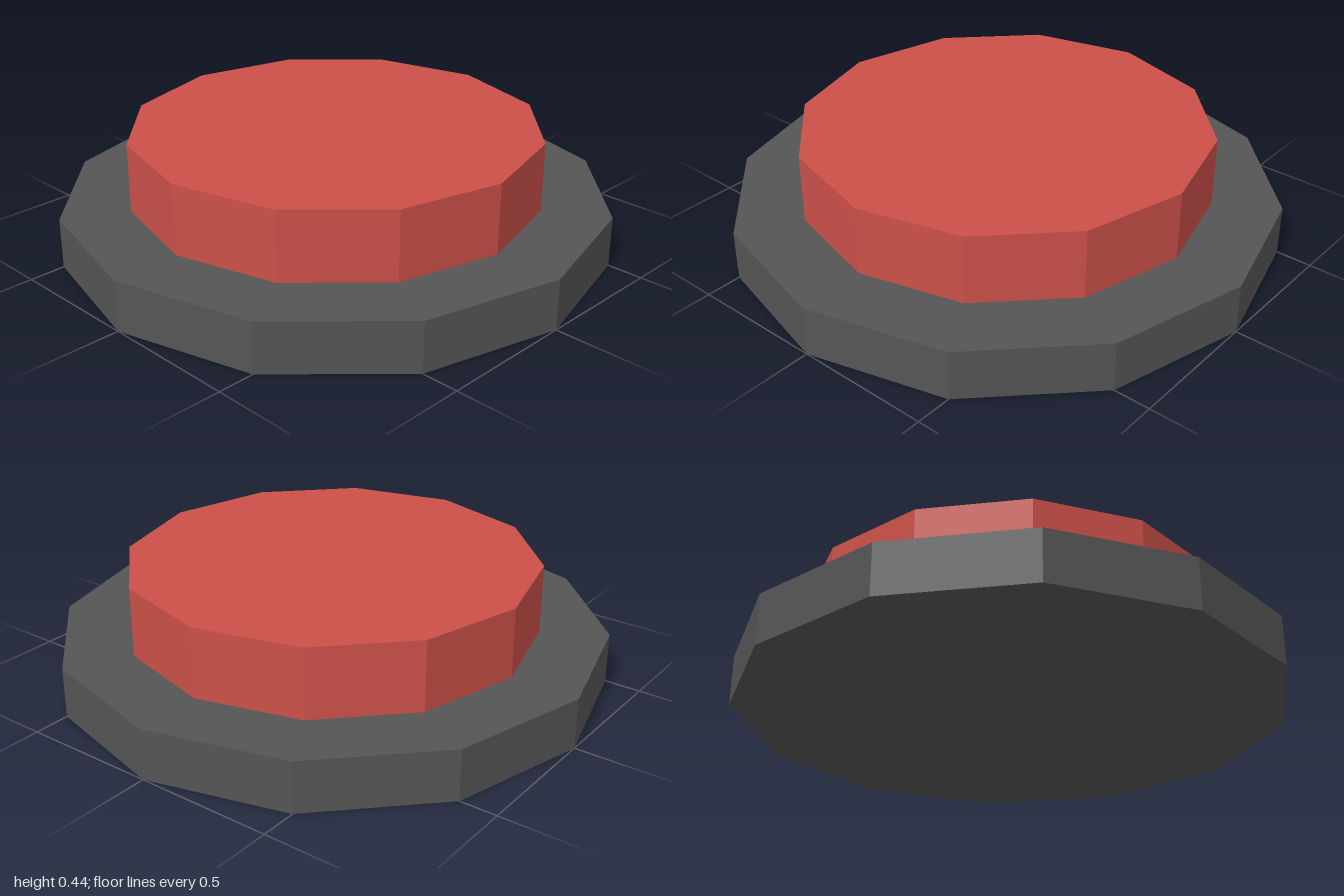
import * as THREE from 'three';

const SIDES = 12;

// Upright faceted disc resting on the given height
function disc(name, radius, bottom, top, color) {
  const material = new THREE.MeshStandardMaterial({ color, flatShading: true });
  const geometry = new THREE.CylinderGeometry(radius, radius, top - bottom, SIDES);
  const mesh = new THREE.Mesh(geometry, material);
  mesh.name = name;
  mesh.position.y = (bottom + top) / 2;
  return mesh;
}

export function createModel() {
  const group = new THREE.Group();
  group.name = 'pushButton';

  // Wide dark base plate
  group.add(disc('base', 1, 0, 0.185, 0x555555));
  // Raised red button cap
  group.add(disc('buttonCap', 0.75, 0.185, 0.44, 0xcc5049));

  return group;
}
